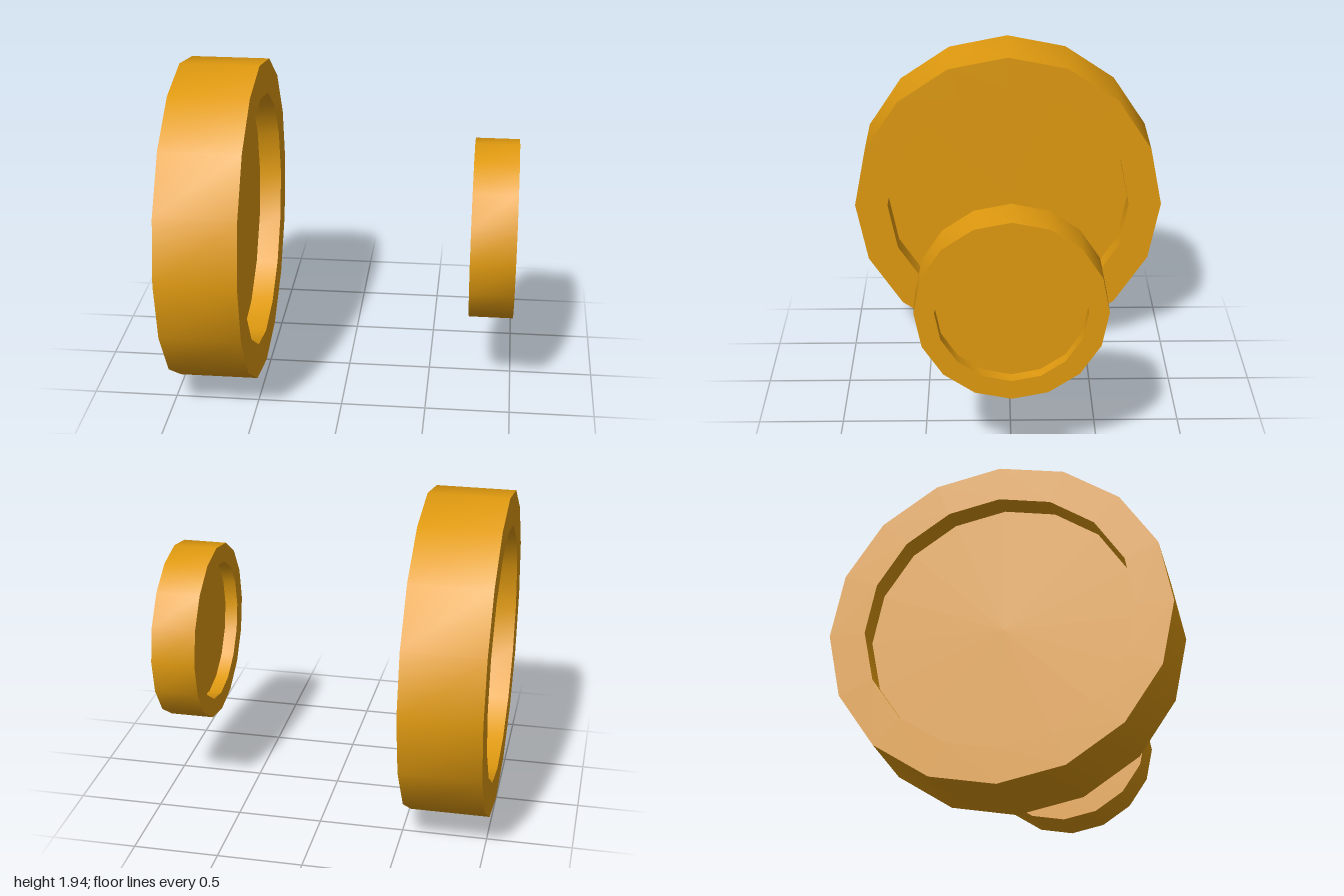
import * as THREE from 'three';
import { toCreasedNormals } from 'three/addons/utils/BufferGeometryUtils.js';

const SIDES = 16;

// A wheel on the x axis: a square-section rim around a recessed disc
function makeWheel(name, material, { radius, inner, width, recess }) {
  const wheel = new THREE.Group();
  wheel.name = name;

  // Rim: closed rectangular profile turned around the axle
  const h = width / 2;
  const profile = [[radius, -h], [radius, h], [inner, h], [inner, -h], [radius, -h]]
    .map(([r, y]) => new THREE.Vector2(r, y));
  const rimGeometry = toCreasedNormals(new THREE.LatheGeometry(profile, SIDES), 0.6);
  rimGeometry.rotateZ(Math.PI / 2);
  const rim = new THREE.Mesh(rimGeometry, material);
  rim.name = 'rim';

  // Disc: set in from both faces, its edge buried in the rim
  const discGeometry = new THREE.CylinderGeometry(inner + 0.02, inner + 0.02, width - 2 * recess, SIDES);
  discGeometry.rotateZ(Math.PI / 2);
  const disc = new THREE.Mesh(discGeometry, material);
  disc.name = 'disc';

  wheel.add(rim, disc);
  return wheel;
}

export function createModel() {
  const model = new THREE.Group();
  model.name = 'wheelPair';
  const amber = new THREE.MeshStandardMaterial({ color: 0xe09a0f });
  amber.name = 'amber';

  const axleHeight = 0.97;
  const large = makeWheel('largeWheel', amber, { radius: 0.97, inner: 0.765, width: 0.473, recess: 0.137 });
  large.position.set(-1 + 0.473 / 2, axleHeight, 0);

  const small = makeWheel('smallWheel', amber, { radius: 0.536, inner: 0.423, width: 0.262, recess: 0.078 });
  small.position.set(1 - 0.262 / 2, axleHeight, 0);

  model.add(large, small);
  return model;
}
